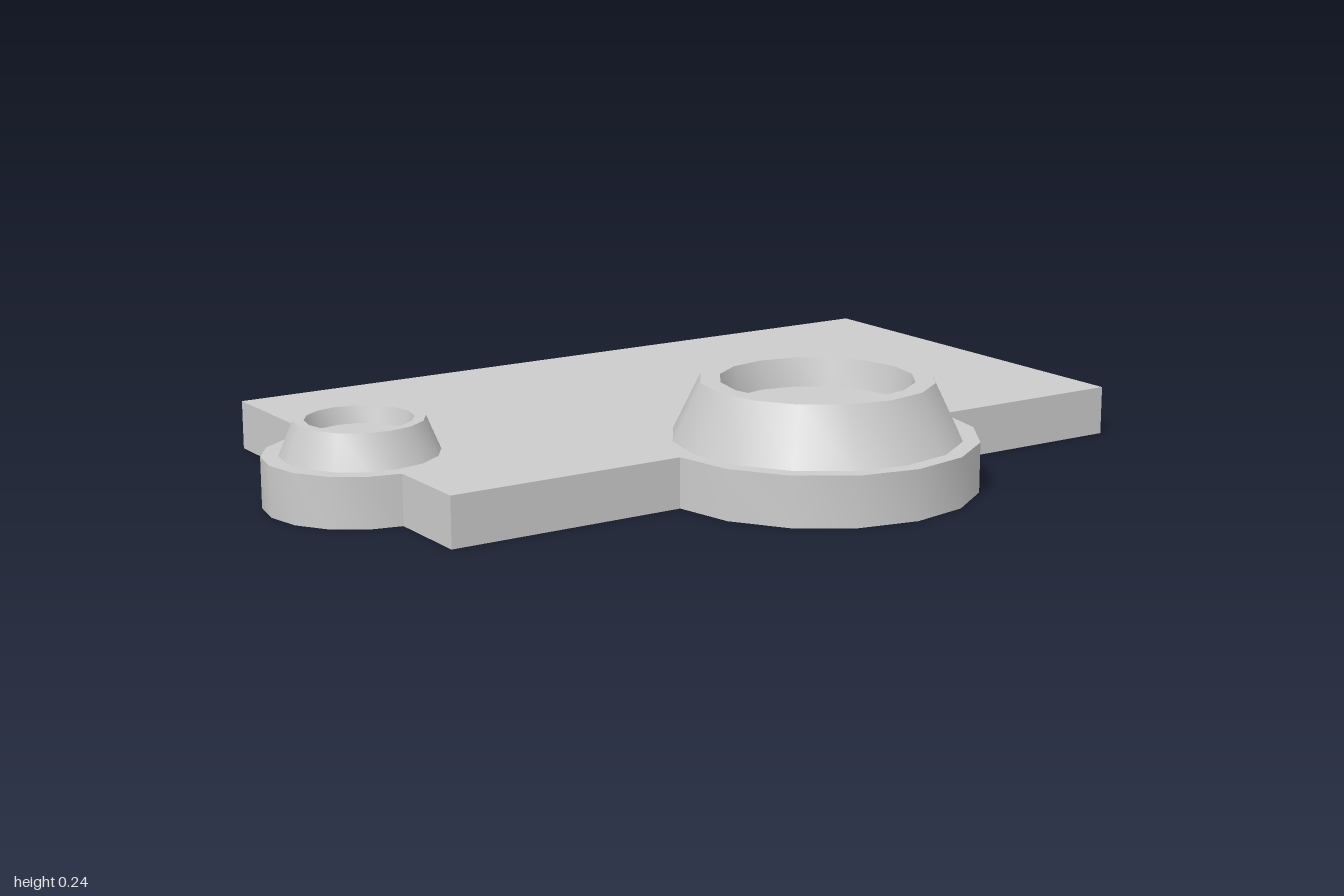
import * as THREE from 'three';
import { toCreasedNormals } from 'three/addons/utils/BufferGeometryUtils.js';

const SIDES = 16;
const PLATE_TOP = 0.115;
const PLATE = { left: -0.795, right: 1, back: -0.695, front: 0.327 };

// Each boss: centre, radius of the lobe it sits on, and radii of its tapered ring
const BIG = { x: 0.137, z: 0.327, lobe: 0.367, base: 0.328, top: 0.265, hole: 0.22, floor: 0.205, height: 0.13 };
const SMALL = { x: -0.784, z: -0.1, lobe: 0.216, base: 0.177, top: 0.145, hole: 0.12, floor: 0.11, height: 0.077 };

// Corners of a lobe from step a to step b of the 16-sided circle
function lobePoints(boss, a, b) {
  const points = [];
  for (let i = a; i <= b; i++) {
    const t = (i / SIDES) * Math.PI * 2;
    points.push(new THREE.Vector2(boss.x + boss.lobe * Math.cos(t), boss.z + boss.lobe * Math.sin(t)));
  }
  return points;
}

// Rectangular plate with a half-round lobe on the front and on one end
function createPlate(material) {
  const sideLobe = lobePoints(SMALL, 4, 12);
  sideLobe.forEach((p) => { p.x = Math.min(p.x, PLATE.left); });
  const outline = new THREE.Shape([
    new THREE.Vector2(PLATE.right, PLATE.back),
    new THREE.Vector2(PLATE.right, PLATE.front),
    ...lobePoints(BIG, 0, 8),
    new THREE.Vector2(PLATE.left, PLATE.front),
    ...sideLobe,
    new THREE.Vector2(PLATE.left, PLATE.back),
  ]);
  const geometry = new THREE.ExtrudeGeometry(outline, { depth: PLATE_TOP, bevelEnabled: false });
  geometry.rotateX(Math.PI / 2).translate(0, PLATE_TOP, 0);
  const plate = new THREE.Mesh(toCreasedNormals(geometry, 0.5), material);
  plate.name = 'basePlate';
  return plate;
}

// Tapered ring with a shallow recess in its top
function createBoss(name, boss, material) {
  const profile = [
    [boss.base, 0],
    [boss.top, boss.height],
    [boss.hole, boss.height],
    [boss.floor, boss.height / 2],
    [0, boss.height / 2],
  ].map(([r, y]) => new THREE.Vector2(r, y));
  const geometry = toCreasedNormals(new THREE.LatheGeometry(profile, SIDES), 0.5);
  const mesh = new THREE.Mesh(geometry, material);
  mesh.position.set(boss.x, PLATE_TOP, boss.z);
  mesh.name = name;
  return mesh;
}

export function createModel() {
  const material = new THREE.MeshStandardMaterial({ color: 0xcccccc });
  const model = new THREE.Group();
  model.name = 'plateWithBosses';
  model.add(
    createPlate(material),
    createBoss('largeBoss', BIG, material),
    createBoss('smallBoss', SMALL, material),
  );
  return model;
}
